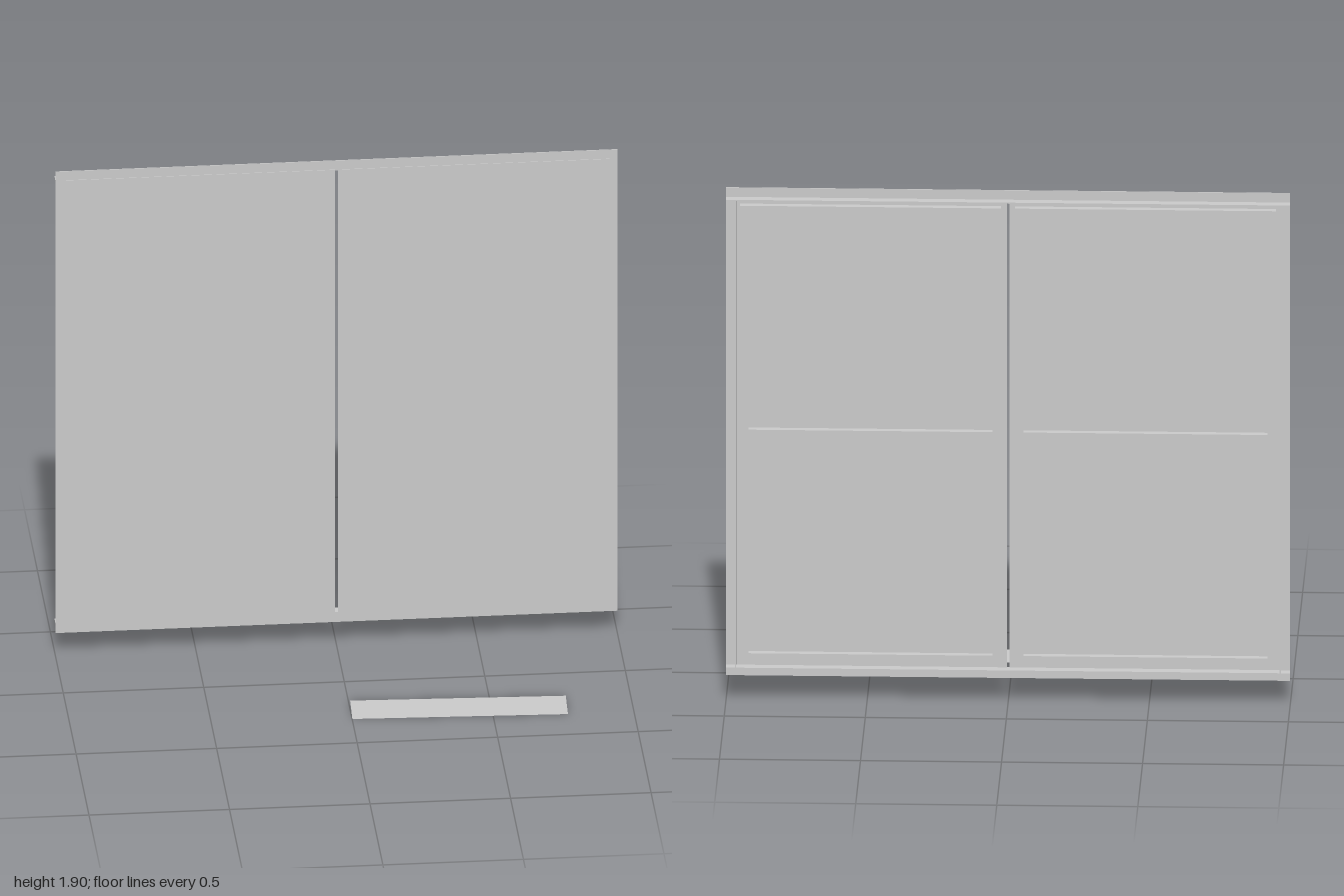
import * as THREE from 'three';

const grey = new THREE.MeshStandardMaterial({ color: 0xcccccc, flatShading: true, side: THREE.DoubleSide });

// Box given by its min and max on each axis
function box(parent, name, x0, x1, y0, y1, z0, z1) {
  const mesh = new THREE.Mesh(new THREE.BoxGeometry(x1 - x0, y1 - y0, z1 - z0), grey);
  mesh.position.set((x0 + x1) / 2, (y0 + y1) / 2, (z0 + z1) / 2);
  mesh.name = name;
  parent.add(mesh);
}

// One door leaf: front sheet stiffened by tubes on the back
function createDoor(side) {
  const door = new THREE.Group();
  door.name = side > 0 ? 'leftDoor' : 'rightDoor';
  const span = (name, a, b, ...rest) =>
    box(door, name, Math.min(a * side, b * side), Math.max(a * side, b * side), ...rest);
  const back = -0.33, front = -0.303;
  span('doorSheet', 0.005, 0.972, 0.125, 1.87, -0.304, -0.3);
  span('innerStile', 0.025, 0.055, 0.15, 1.845, back, front);
  span('outerStile', 0.92, 0.95, 0.15, 1.845, back, front);
  span('bottomRail', 0.055, 0.92, 0.15, 0.18, back, front);
  span('middleRail', 0.055, 0.92, 0.985, 1.012, back, front);
  span('topRail', 0.055, 0.92, 1.815, 1.845, back, front);
  return door;
}

// Surrounding frame of angle sections: a flat flange and a leg running back
function createFrame() {
  const frame = new THREE.Group();
  frame.name = 'frame';
  const z0 = -0.3055, z1 = -0.3025, back = -0.34;
  box(frame, 'bottomFlange', -1, 1, 0.09, 0.128, z0, z1);
  box(frame, 'topFlange', -1, 1, 1.867, 1.905, z0, z1);
  box(frame, 'bottomLeg', -1, 1, 0.125, 0.129, back, z1);
  box(frame, 'topLeg', -1, 1, 1.866, 1.87, back, z1);
  for (const s of [-1, 1]) {
    const edge = (name, a, b, back0) =>
      box(frame, name, Math.min(a * s, b * s), Math.max(a * s, b * s), 0.128, 1.867, back0, z1);
    edge('sideFlange', 0.964, 1, z0);
    edge('sideLeg', 0.964, 0.968, back);
  }
  return frame;
}

export function createModel() {
  const model = new THREE.Group();
  model.name = 'doubleDoor';
  model.add(createFrame(), createDoor(1), createDoor(-1));

  // Loose flat plate on the ground in front of the doors
  const plate = new THREE.Mesh(new THREE.PlaneGeometry(0.765, 0.15).rotateX(-Math.PI / 2), grey);
  plate.name = 'groundPlate';
  plate.position.set(0.386, 0, 0.245);
  plate.rotation.y = -0.039;
  model.add(plate);
  return model;
}
